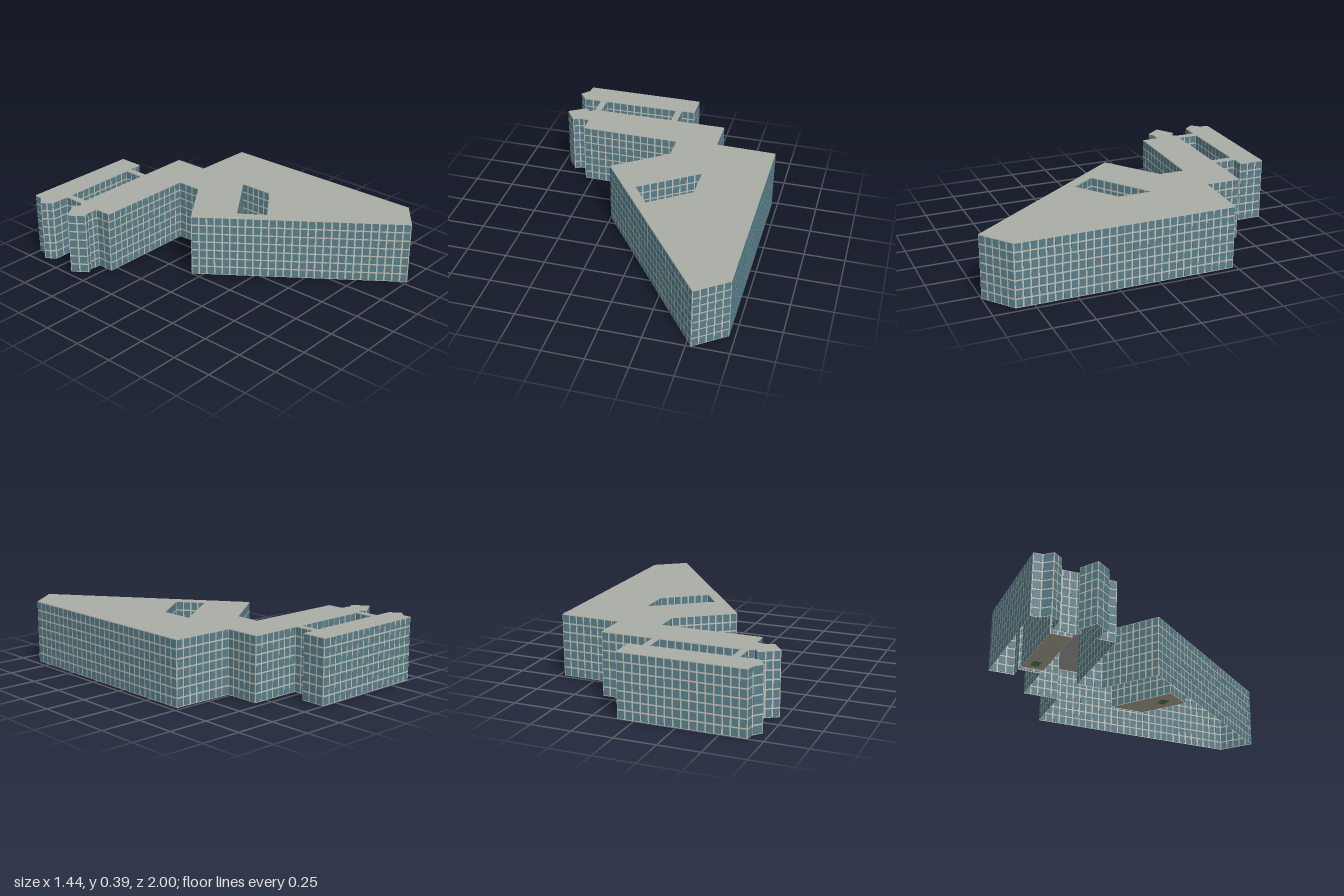
import * as THREE from 'three';
import { mergeGeometries } from 'three/addons/utils/BufferGeometryUtils.js';

const HEIGHT = 0.39, FLOORS = 7, BAY = 0.0465, BAR = 0.0095;

// Plan outlines as [x, z]
const OUTLINE = [
  [-0.66, -1.0], [0.1, -1.0], [0.1, -0.845], [0.015, -0.845], [0.015, -0.705], [0.335, -0.705],
  [0.335, -0.485], [0.715, -0.475], [0.715, 0.86], [0.53, 1.0], [-0.25, -0.06], [0.075, -0.295],
  [0.075, -0.455], [-0.55, -0.46], [-0.55, -0.565], [-0.62, -0.57], [-0.655, -0.55], [-0.72, -0.64],
  [-0.61, -0.71], [-0.58, -0.675], [-0.55, -0.7], [-0.55, -0.835], [-0.665, -0.835], [-0.71, -0.895],
  [-0.665, -0.945],
];
const COURTYARDS = [
  { name: 'rearCourtyard', plan: [[-0.51, -0.835], [-0.025, -0.84], [-0.025, -0.705], [-0.51, -0.705]], lawn: [-0.1, -0.775] },
  { name: 'frontCourtyard', plan: [[-0.035, 0.12], [0.07, 0.27], [0.32, 0.085], [0.32, -0.13]], lawn: [0.11, 0.135] },
];

const paint = (color) => new THREE.MeshStandardMaterial({ color, side: THREE.DoubleSide });
const wallPaint = paint(0xc4c0b4), glass = paint(0x587f8b), roofing = paint(0xaaaca6);
const paving = paint(0xb2ad9c), grass = paint(0x5d8250);

const toPoints = (plan) => plan.map(([x, z]) => new THREE.Vector2(x, -z));

function addMesh(parent, name, geometry, material) {
  const mesh = new THREE.Mesh(geometry, material);
  mesh.name = name;
  parent.add(mesh);
  return mesh;
}

// Flat horizontal slab surface from a plan shape
function flatSurface(shape, y) {
  return new THREE.ShapeGeometry(shape).rotateX(-Math.PI / 2).translate(0, y, 0);
}

// Thin walls along every edge of a plan, with a regular grid of windows
function facade(name, plan) {
  const walls = [], panes = [];
  const storey = HEIGHT / FLOORS;
  plan.forEach(([x0, z0], i) => {
    const [x1, z1] = plan[(i + 1) % plan.length];
    const length = Math.hypot(x1 - x0, z1 - z0);
    const bays = Math.max(1, Math.round(length / BAY));
    const bay = length / bays;
    const place = (g) => g.rotateY(-Math.atan2(z1 - z0, x1 - x0)).translate(x0, 0, z0);

    walls.push(place(new THREE.PlaneGeometry(length, HEIGHT).translate(length / 2, HEIGHT / 2, 0)));
    for (let b = 0; b < bays; b++) {
      for (let f = 0; f < FLOORS; f++) {
        const pane = new THREE.BoxGeometry(bay - BAR, storey - BAR, 0.004);
        panes.push(place(pane.translate((b + 0.5) * bay, (f + 0.5) * storey, 0)));
      }
    }
  });
  const group = new THREE.Group();
  group.name = name;
  addMesh(group, name + 'Walls', mergeGeometries(walls), wallPaint);
  addMesh(group, name + 'Windows', mergeGeometries(panes), glass);
  return group;
}

export function createModel() {
  const model = new THREE.Group();
  model.name = 'officeBuilding';

  model.add(facade('outerFacade', OUTLINE));

  // Flat roof pierced by the courtyards
  const roof = new THREE.Shape(toPoints(OUTLINE));
  COURTYARDS.forEach(({ plan }) => roof.holes.push(new THREE.Path(toPoints(plan))));
  addMesh(model, 'roof', flatSurface(roof, HEIGHT), roofing);

  // Courtyards: inner facades, paved floor and a small lawn
  COURTYARDS.forEach(({ name, plan, lawn }) => {
    const yard = facade(name, plan);
    addMesh(yard, name + 'Floor', flatSurface(new THREE.Shape(toPoints(plan)), 0.003), paving);
    const patch = addMesh(yard, name + 'Lawn', new THREE.BoxGeometry(0.07, 0.008, 0.05), grass);
    patch.position.set(lawn[0], 0.005, lawn[1]);
    model.add(yard);
  });

  return model;
}
